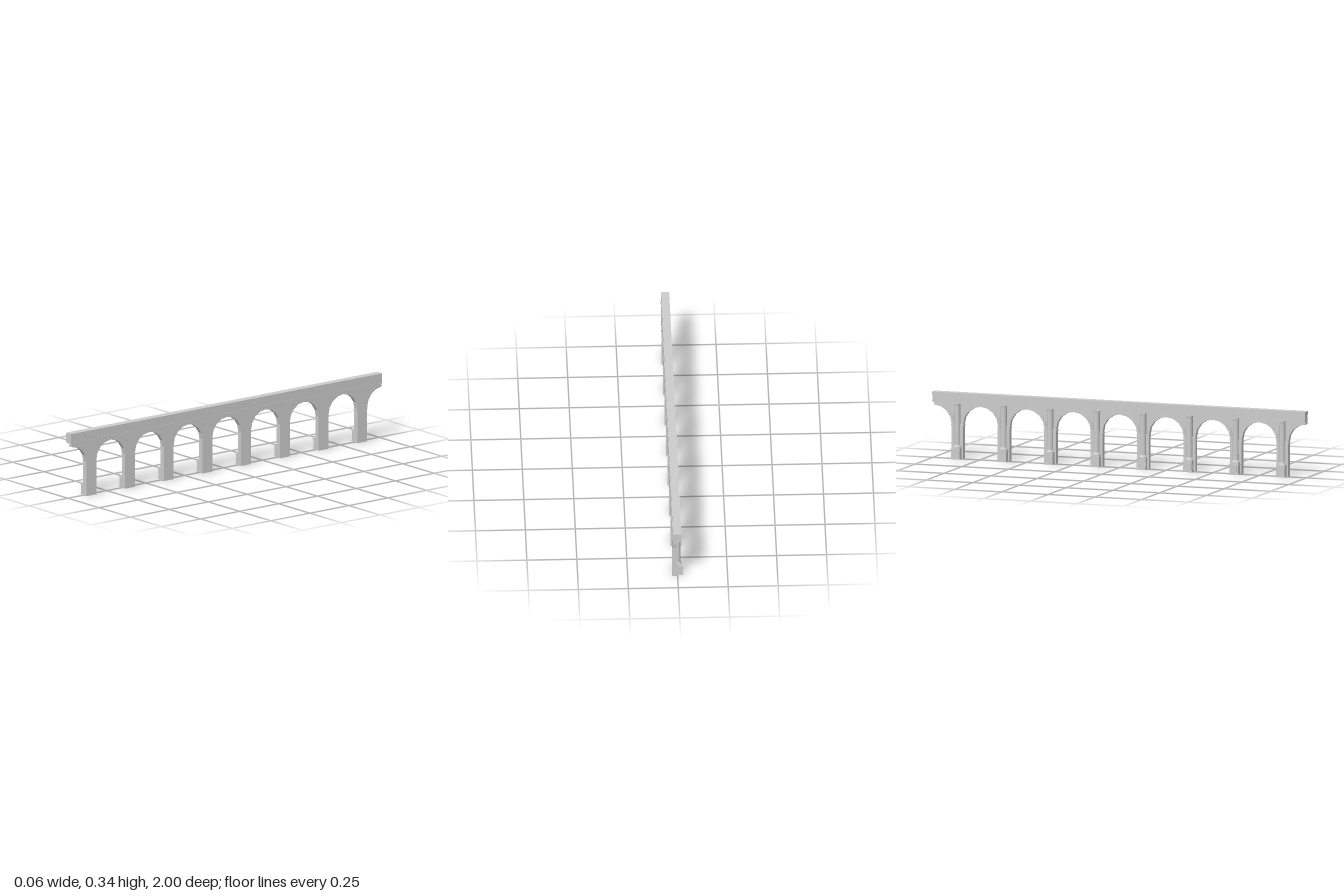
import * as THREE from 'three';

const material = new THREE.MeshStandardMaterial({ color: 0xcccccc, side: THREE.DoubleSide });
const BAY = 0.2487, END = 0.995, R = 0.0925, SPRING = 0.175, SEG = 8;

function add(parent, geometry, name) {
  const m = new THREE.Mesh(geometry, material);
  m.name = name;
  parent.add(m);
  return m;
}

// Box given by its limits
function block(parent, name, x0, x1, y0, y1, z0, z1) {
  const g = new THREE.BoxGeometry(x1 - x0, y1 - y0, z1 - z0);
  g.translate((x0 + x1) / 2, (y0 + y1) / 2, (z0 + z1) / 2);
  return add(parent, g, name);
}

// Extrude a (z, y) outline from x0 to x1
function slab(parent, name, points, x0, x1) {
  const g = new THREE.ExtrudeGeometry(new THREE.Shape(points), { depth: x1 - x0, bevelEnabled: false });
  g.rotateY(-Math.PI / 2).translate(x1, 0, 0);
  return add(parent, g, name);
}

// Arch points from -z to +z; the end bays keep only the half on the structure
function arc(center, radius, bay) {
  const from = bay === 0 ? SEG / 2 : 0, to = bay === 8 ? SEG / 2 : SEG, pts = [];
  for (let i = from; i <= to; i++) {
    const a = Math.PI * (1 - i / SEG);
    pts.push(new THREE.Vector2(center + radius * Math.cos(a), SPRING + radius * Math.sin(a)));
  }
  return pts;
}

function createPier() {
  const pier = new THREE.Group();
  pier.name = 'pier';
  const h = BAY / 2 - R;
  block(pier, 'pierShaft', 0.001, 0.027, 0, SPRING, -h, h);
  block(pier, 'impost', 0, 0.0272, 0.167, 0.173, -h - 0.002, h + 0.002);

  // Pedestal with plinth, cap and framed panels
  block(pier, 'plinth', -0.0285, 0.001, 0, 0.006, -0.025, 0.025);
  block(pier, 'pedestal', -0.0265, 0.001, 0.006, 0.048, -0.023, 0.023);
  block(pier, 'pedestalCap', -0.0285, 0.001, 0.048, 0.053, -0.025, 0.025);
  block(pier, 'frontPanel', -0.0273, -0.0265, 0.016, 0.039, -0.013, 0.013);
  for (const s of [-1, 1]) {
    block(pier, 'sidePanel', -0.02, -0.006, 0.016, 0.039, s * 0.0234 - 0.0004, s * 0.0234 + 0.0004);
  }
  block(pier, 'columnPlinth', -0.024, 0.001, 0.053, 0.058, -0.022, 0.022);

  // Engaged column with base and capital mouldings
  const profile = [[0.0225, 0.058], [0.023, 0.061], [0.0215, 0.064], [0.019, 0.066], [0.0195, 0.069],
    [0.0175, 0.071], [0.016, 0.073], [0.0148, 0.271], [0.0165, 0.272], [0.0165, 0.275],
    [0.0152, 0.276], [0.018, 0.28]].map(p => new THREE.Vector2(p[0], p[1]));
  // Half turn on the column side
  add(pier, new THREE.LatheGeometry(profile, 16, Math.PI, Math.PI), 'column').position.x = 0.001;
  // Straight return joining the column to the wall above the impost
  block(pier, 'columnBacking', 0.001, 0.012, SPRING, 0.281, -0.0148, 0.0148);
  block(pier, 'abacus', -0.018, 0.012, 0.279, 0.284, -0.019, 0.019);
  return pier;
}

export function createModel() {
  const root = new THREE.Group();
  root.name = 'arcade';

  // Pierced wall above the piers, arches traced bay by bay
  const outline = [];
  for (let b = 0; b <= 8; b++) outline.push(...arc((b - 4) * BAY, R, b));
  outline.push(new THREE.Vector2(END, 0.288), new THREE.Vector2(-END, 0.288));
  slab(root, 'archWall', outline, 0.01, 0.027);

  // Stepped archivolts on the column side
  for (let b = 0; b <= 8; b++) {
    const c = (b - 4) * BAY;
    for (const [r, x] of [[R + 0.010, 0.003], [R + 0.015, 0.006]]) {
      slab(root, 'archivolt', [...arc(c, R, b), ...arc(c, r, b).reverse()], x, 0.01);
    }
  }

  for (let i = 0; i < 8; i++) {
    const pier = createPier();
    pier.position.z = (i - 3.5) * BAY;
    root.add(pier);
  }

  // Entablature and parapet
  block(root, 'architrave', -0.0145, 0.0262, 0.283, 0.289, -0.997, 0.997);
  block(root, 'stringCourse', -0.0162, 0.0256, 0.289, 0.293, -1, 1);
  block(root, 'frieze', -0.0152, 0.025, 0.293, 0.318, -0.998, 0.998);
  block(root, 'parapet', -0.0158, 0.0254, 0.318, 0.335, -1, 1);
  return root;
}
